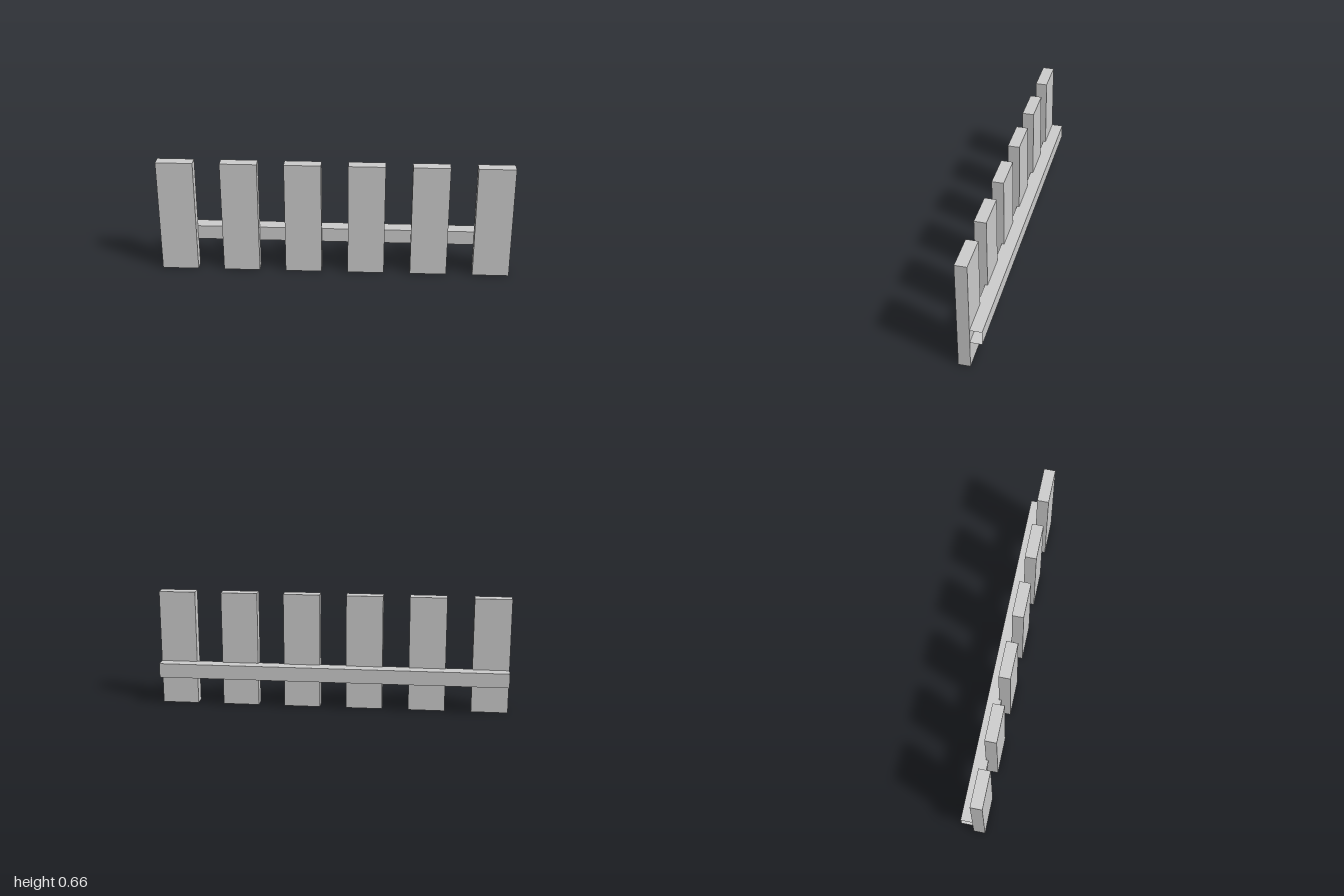
import * as THREE from 'three';

const material = new THREE.MeshStandardMaterial({ color: 0xcccccc, side: THREE.DoubleSide });

// Box without the listed sides (0 +x, 1 -x, 2 +y, 3 -y, 4 +z, 5 -z)
function openBox(width, height, depth, openSides) {
  const geometry = new THREE.BoxGeometry(width, height, depth);
  const index = Array.from(geometry.index.array);
  geometry.setIndex(index.filter((_, i) => !openSides.includes(Math.floor(i / 6))));
  geometry.clearGroups();
  return geometry;
}

export function createModel() {
  const fence = new THREE.Group();
  fence.name = 'picketFence';

  // Six upright pickets, open underneath
  const count = 6, width = 0.208, height = 0.662, depth = 0.066;
  const picketGeometry = openBox(width, height, depth, [3]);
  const pitch = (2 - width) / (count - 1);
  for (let i = 0; i < count; i++) {
    const picket = new THREE.Mesh(picketGeometry, material);
    picket.name = `picket${i + 1}`;
    picket.position.set(-1 + width / 2 + i * pitch, height / 2, depth / 2);
    fence.add(picket);
  }

  // Horizontal rail behind the pickets, open at both ends
  const rail = new THREE.Mesh(openBox(2, 0.082, 0.08, [0, 1]), material);
  rail.name = 'rail';
  rail.position.set(0, 0.21, -0.026);
  fence.add(rail);

  return fence;
}
